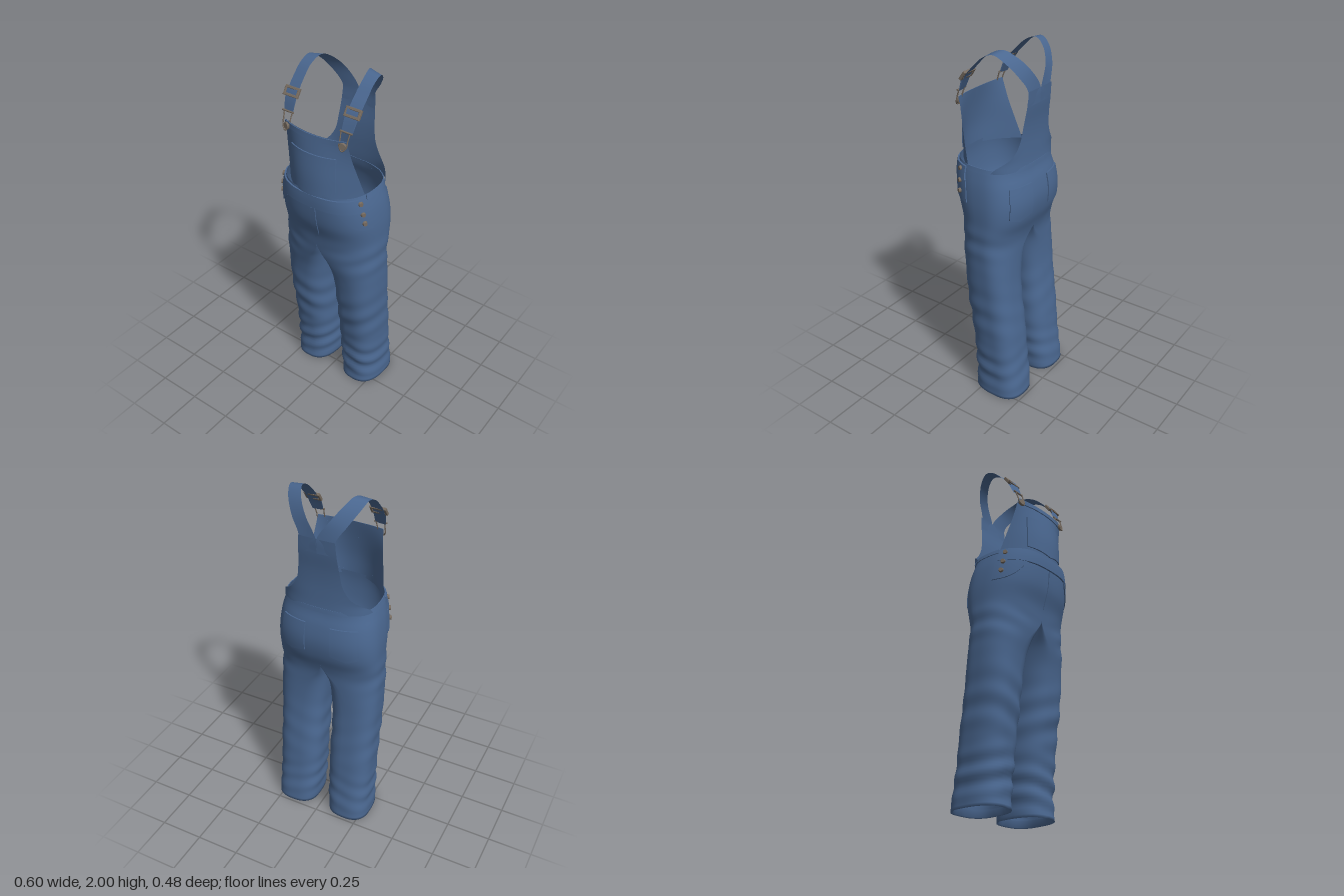
import * as THREE from 'three';
import { mergeGeometries, mergeVertices, toCreasedNormals } from 'three/addons/utils/BufferGeometryUtils.js';

const P = 0.77; // superellipse power of the cloth cross-sections

// Smooth lookup in a table of rows [y, ...values], listed from low y to high y
function track(rows) {
  const size = rows[0].length - 1;
  const spline = new THREE.CubicInterpolant(rows.map(r => r[0]), rows.flatMap(r => r.slice(1)), size, new Array(size));
  return y => Array.from(spline.evaluate(y));
}

// y: outer x, middle x, inner x, front z, back z
const trouser = track([
  [0.00, 0.292, 0.170, 0.045, 0.070, -0.235],
  [0.08, 0.288, 0.168, 0.040, 0.065, -0.228],
  [0.20, 0.286, 0.165, 0.035, 0.072, -0.210],
  [0.40, 0.288, 0.165, 0.030, 0.092, -0.190],
  [0.60, 0.290, 0.165, 0.030, 0.120, -0.165],
  [0.70, 0.293, 0.160, 0.028, 0.130, -0.155],
  [0.80, 0.295, 0.140, 0.020, 0.140, -0.150],
  [0.90, 0.295, 0.090, 0.012, 0.160, -0.150],
  [0.97, 0.295, 0.030, 0.003, 0.172, -0.155],
  [1.02, 0.294, 0, 0, 0.178, -0.168],
  [1.10, 0.293, 0, 0, 0.190, -0.195],
  [1.20, 0.290, 0, 0, 0.220, -0.208],
  [1.30, 0.277, 0, 0, 0.232, -0.195],
  [1.36, 0.262, 0, 0, 0.233, -0.178],
  [1.40, 0.250, 0, 0, 0.230, -0.172],
]);
// y: half width, centre z, edge z
const bibTrack = track([
  [1.38, 0.243, 0.239, 0.080], [1.50, 0.222, 0.235, 0.117],
  [1.60, 0.203, 0.222, 0.145], [1.72, 0.186, 0.200, 0.172],
]);
// y: half width, curve width, depth
const backTrack = track([
  [1.385, 0.253, 0.256, 0.176], [1.41, 0.246, 0.256, 0.174], [1.43, 0.228, 0.256, 0.173],
  [1.47, 0.175, 0.270, 0.172], [1.54, 0.130, 0.300, 0.172], [1.62, 0.115, 0.320, 0.177],
  [1.72, 0.105, 0.340, 0.190], [1.80, 0.100, 0.350, 0.196],
]);

const bump = (y, c, w) => Math.exp(-(((y - c) / w) ** 2));

// Cloth point at angle t (0 front, PI back, beyond PI the inside leg), with its outward normal
function cloth(t, y, offset = 0, side = 1) {
  let [xo, xm, xi, zf, zb] = trouser(y);
  xm = Math.max(xm, 0);
  xi = Math.min(Math.max(xi, 0), xm);
  const s = Math.sin(t), c = Math.cos(t);
  const zc = (zf + zb) / 2 - 0.03;
  const a = s >= 0 ? xo - xm : xm - xi, b = c >= 0 ? zf - zc : zc - zb;
  const pow = (v, p) => Math.sign(v) * Math.abs(v) ** p;
  const n = new THREE.Vector3(pow(s, 2 - P) / Math.max(a, 0.01), 0, pow(c, 2 - P) / b).normalize();
  const p = new THREE.Vector3(xm + a * pow(s, P), y, zc + b * pow(c, P));
  // Soft creases at the hem, knee and crotch
  const crease = 0.008 * bump(y, 0.16, 0.13) * Math.sin(58 * y + 16 * p.x)
    + 0.005 * bump(y, 0.52, 0.16) * Math.sin(44 * y - 18 * p.x)
    + 0.006 * bump(y, 0.97, 0.09) * Math.sin(50 * y - 22 * p.x) * Math.max(s, 0);
  p.addScaledVector(n, offset + (y > 0.02 ? crease * (0.65 + 0.35 * c) : 0));
  p.x *= side;
  n.x *= side;
  return { p, n };
}

// Grid surface from fn(u, v) -> Vector3
function grid(fn, nu, nv) {
  const pos = [], idx = [];
  for (let j = 0; j <= nv; j++) for (let i = 0; i <= nu; i++) pos.push(...fn(i / nu, j / nv).toArray());
  for (let j = 0; j < nv; j++) for (let i = 0; i < nu; i++) {
    const a = j * (nu + 1) + i, c = a + nu + 1;
    idx.push(a, c, a + 1, a + 1, c, c + 1);
  }
  const g = new THREE.BufferGeometry();
  g.setAttribute('position', new THREE.Float32BufferAttribute(pos, 3));
  g.setIndex(idx);
  g.computeVertexNormals();
  return g;
}

// Thin raised patch: fn(u, v, lift), with its rim turned down onto the cloth
function patch(fn, nu, nv, lift = 0.007) {
  const clamp = v => Math.min(Math.max(v, 0), 1);
  const g = grid((u, v) => {
    const i = Math.round(u * (nu + 2)), j = Math.round(v * (nv + 2));
    const rim = i === 0 || j === 0 || i === nu + 2 || j === nv + 2;
    return fn(clamp((i - 1) / nu), clamp((j - 1) / nv), rim ? 0 : lift);
  }, nu + 2, nv + 2);
  return toCreasedNormals(g, 0.7);
}

// One trouser half: hip shell above the crotch, closed leg loop below, hem turned inwards
function trouserHalf(side) {
  const outer = 30, cols = 48, steps = 84, pos = [], idx = [];
  const rows = [];
  for (let i = 0; i <= steps; i++) rows.push([1.4 * (1 - i / steps), 1]);
  rows.push([0.004, 0.93], [0.04, 0.92]);
  rows.forEach(([y, k], r) => {
    const [xo, , xi, zf, zb] = trouser(y);
    for (let j = 0; j < cols; j++) {
      const t = j <= outer ? Math.PI * j / outer : Math.PI * (1 + (j - outer) / (cols - outer));
      const { p } = cloth(t, y);
      const mx = (xo + xi) / 2, mz = (zf + zb) / 2;
      if (k < 1) p.set(mx + (p.x - mx) * k, y, mz + (p.z - mz) * k);
      pos.push(p.x * side, p.y, p.z);
      if (r === rows.length - 1 || (j >= outer && y > 1.025)) continue;
      const a = r * cols + j, b = r * cols + (j + 1) % cols, c = a + cols, d = b + cols;
      if (side > 0) idx.push(a, c, b, b, c, d);
      else idx.push(a, b, c, b, d, c);
    }
  });
  const g = new THREE.BufferGeometry();
  g.setAttribute('position', new THREE.Float32BufferAttribute(pos, 3));
  g.setIndex(idx);
  return g;
}

function bibPoint(x, y, lift = 0) {
  const [w, zc, ze] = bibTrack(y);
  return new THREE.Vector3(x, y, zc - (zc - ze) * Math.abs(x / w) ** 2.2 + lift);
}

export function createModel() {
  const model = new THREE.Group();
  const denim = new THREE.MeshStandardMaterial({ color: 0x4a6790, side: THREE.DoubleSide });
  denim.name = 'denim';
  const metal = new THREE.MeshStandardMaterial({ color: 0x766b60 });
  metal.name = 'aged metal';
  const add = (name, geometry, material = denim) => {
    const m = new THREE.Mesh(geometry, material);
    m.name = name;
    model.add(m);
    return m;
  };
  const lerp = THREE.MathUtils.lerp;

  // Trousers
  const trousers = mergeVertices(mergeGeometries([trouserHalf(1), trouserHalf(-1)]), 1e-4);
  trousers.computeVertexNormals();
  add('trousers', trousers);

  // Bib, its top hem and its pocket
  add('bib', grid((u, v) => {
    const y = lerp(1.72, 1.38, v);
    return bibPoint((u * 2 - 1) * bibTrack(y)[0], y + (1 - v) * 0.008 * (u * 2 - 1) ** 2);
  }, 28, 20));
  add('bibHem', patch((u, v, d) => {
    const y = lerp(1.718, 1.69, v);
    return bibPoint((u * 2 - 1) * 0.995 * bibTrack(y)[0], y + 0.008 * (u * 2 - 1) ** 2, d);
  }, 24, 2, 0.006));
  add('bibPocket', patch((u, v, d) => {
    const x = u * 2 - 1, y = lerp(1.62, 1.397 + 0.03 * Math.abs(x), v);
    return bibPoint(0.138 * x, y, d);
  }, 12, 8));

  // Back panel rising to the strap fork
  add('backPanel', grid((u, v) => {
    const y = lerp(1.80, 1.385, v), [e, w, depth] = backTrack(y);
    const x = e * Math.sin((u - 0.5) * Math.PI);
    const bow = Math.max(1 - Math.abs(x / w) ** 2.6, 0) ** (1 / 2.6);
    return new THREE.Vector3(x, y, -0.03 - (depth - 0.03) * bow);
  }, 28, 28));

  // Front waistband and fly
  add('frontWaistband', patch((u, v, d) => {
    const k = u * 2 - 1;
    return cloth(Math.abs(k) * 1.27, lerp(1.388, 1.315, v), d, Math.sign(k) || 1).p;
  }, 40, 4, 0.009));
  add('fly', patch((u, v, d) => {
    const y = lerp(1.31, 1.09, v);
    return cloth(u * 0.07 * Math.sqrt(Math.max(1 - v ** 5, 0)), y, d).p;
  }, 4, 12, 0.005));

  for (const side of [1, -1]) {
    const tag = side > 0 ? 'left' : 'right';
    // Side placket with a scooped front pocket edge
    add(tag + 'FrontPocket', patch((u, v, d) => {
      const low = 1.315 - 0.115 * (1 - (1 - u) ** 3);
      return cloth(lerp(0.5, 1.3, u), lerp(1.318, low, v), d, side).p;
    }, 14, 6, 0.006));
    add(tag + 'BackWaistband', patch((u, v, d) =>
      cloth(lerp(1.3, Math.PI, u), lerp(1.4, 1.375, v), d, side).p, 24, 2, 0.005));
    add(tag + 'BackPocket', patch((u, v, d) => {
      const low = 1.11 + 0.025 * Math.abs(u * 2 - 1);
      return cloth(Math.PI - lerp(0.17, 0.78, u), lerp(1.305, low, v), d, side).p;
    }, 10, 8));

    // Shoulder strap between an inner and an outer edge curve
    const edge = pts => new THREE.CatmullRomCurve3(pts.map(([x, y, z]) => new THREE.Vector3(x * side, y, z)));
    const inner = edge([[0, 1.72, -0.193], [0.002, 1.80, -0.197], [0.065, 1.90, -0.178], [0.113, 1.965, -0.13],
      [0.14, 1.997, -0.07], [0.152, 1.972, 0], [0.152, 1.92, 0.06], [0.15, 1.855, 0.115], [0.148, 1.765, 0.162]]);
    const outer = edge([[0.105, 1.72, -0.187], [0.10, 1.80, -0.188], [0.148, 1.88, -0.165], [0.193, 1.952, -0.115],
      [0.213, 1.987, -0.06], [0.218, 1.966, 0], [0.22, 1.916, 0.055], [0.218, 1.853, 0.11], [0.208, 1.765, 0.155]]);
    add(tag + 'Strap', grid((u, v) => inner.getPoint(v).lerp(outer.getPoint(v), u), 4, 56));
    // Doubled strap end below the buckle
    add(tag + 'StrapLoop', grid((u, v) => {
      const t = lerp(0.85, 1, v);
      return inner.getPoint(t).lerp(outer.getPoint(t), u).add(new THREE.Vector3(0, 0.006, 0.01 * (1 - v * v)));
    }, 4, 8));

    // Slide buckle
    const frame = new THREE.Shape([[-0.043, -0.024], [0.043, -0.024], [0.043, 0.024], [-0.043, 0.024]].map(p => new THREE.Vector2(...p)));
    frame.holes.push(new THREE.Path([[-0.034, -0.014], [-0.034, 0.014], [0.034, 0.014], [0.034, -0.014]].map(p => new THREE.Vector2(...p))));
    const buckle = add(tag + 'Buckle', new THREE.ExtrudeGeometry(frame, { depth: 0.012, bevelEnabled: true, bevelSize: 0.002, bevelThickness: 0.002, bevelSegments: 1 }), metal);
    buckle.position.set(0.184 * side, 1.852, 0.114);
    buckle.rotation.x = -0.62;

    // Wire clasp hooked around the bib button
    const wire = [[-0.026, 1.775, 0.164], [-0.022, 1.735, 0.178], [-0.02, 1.70, 0.19], [0, 1.68, 0.196],
      [0.02, 1.70, 0.186], [0.022, 1.735, 0.176], [0.026, 1.775, 0.16]];
    const path = new THREE.CatmullRomCurve3(wire.map(([x, y, z]) => new THREE.Vector3((0.174 + x) * side, y, z)));
    add(tag + 'Clasp', new THREE.TubeGeometry(path, 28, 0.0035, 6), metal);
    const bar = add(tag + 'ClaspBar', new THREE.CylinderGeometry(0.005, 0.005, 0.07, 8), metal);
    bar.position.set(0.177 * side, 1.77, 0.163);
    bar.rotation.z = Math.PI / 2;

    // Buttons
    const button = (name, p, n, r) => {
      const b = add(name, new THREE.CylinderGeometry(r * 0.8, r, 0.012, 14), metal);
      b.position.copy(p);
      b.quaternion.setFromUnitVectors(new THREE.Vector3(0, 1, 0), n);
    };
    button(tag + 'BibButton', bibPoint(0.172 * side, 1.702, 0.012), new THREE.Vector3(0.3 * side, 0.1, 1).normalize(), 0.021);
    [1.366, 1.305, 1.25].forEach((y, i) => {
      const { p, n } = cloth(1.1, y, 0.012, side);
      button(tag + 'SideButton' + (i + 1), p, n, 0.014);
    });
  }
  return model;
}
